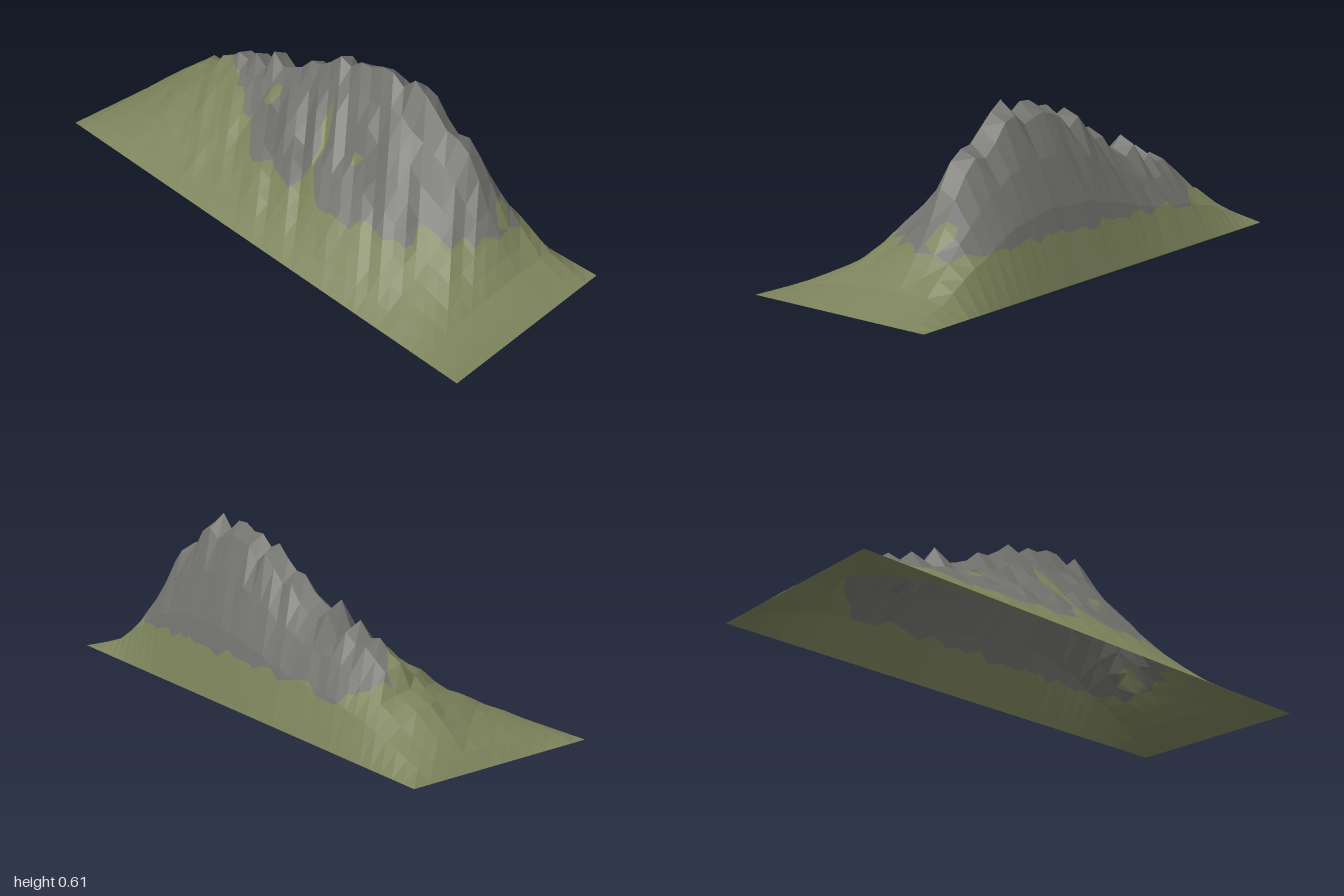
import * as THREE from 'three';

const NX = 40, NZ = 12, DX = 0.05, DZ = 0.73 / 12;
// skyline heights from left edge to right edge of the base
const crest = [0, 0.045, 0.085, 0.12, 0.155, 0.17, 0.185, 0.26, 0.28, 0.32, 0.31, 0.36, 0.32, 0.41,
  0.365, 0.385, 0.41, 0.46, 0.465, 0.5, 0.545, 0.525, 0.565, 0.565, 0.59, 0.59, 0.555, 0.605,
  0.57, 0.525, 0.475, 0.465, 0.43, 0.35, 0.25, 0.175, 0.11, 0.06, 0.04, 0.02, 0];
// share of the skyline height from the back edge to the front edge
const slope = [0, 0.44, 0.71, 0.96, 1, 0.83, 0.68, 0.54, 0.42, 0.3, 0.19, 0.09, 0];
const CREST_ROW = 4;
// grassy ledges on the rock: x, z, radius
const ledges = [[-0.26, -0.03, 0.07], [0.06, -0.02, 0.06], [0.1, 0.09, 0.06], [0.26, 0.06, 0.06],
  [-0.42, 0.02, 0.07], [0.58, 0.05, 0.05], [0.7, -0.18, 0.05]];

const hash = (a, b) => {
  const s = Math.sin(a * 127.1 + b * 311.7) * 43758.5453;
  return (s - Math.floor(s)) * 2 - 1;
};

// average of the skyline, used away from the crest
const envelope = i => {
  let sum = 0, n = 0;
  for (let k = Math.max(0, i - 2); k <= Math.min(NX, i + 2); k++) { sum += crest[k]; n++; }
  return Math.min(sum / n, crest[i] * 1.15);
};

function height(i, j) {
  const r = j - CREST_ROW;
  const low = THREE.MathUtils.clamp(crest[i] / 0.35, 0, 1);
  const p = Math.pow(slope[j], 0.55 + 0.45 * low);
  if (r === 0) return crest[i];
  if (r === -1) return crest[i] * p * (0.97 + 0.03 * hash(i, 7));
  const h = envelope(i) * p;
  // spurs and gullies run diagonally down the front
  const rough = r > 0 ? 0.14 * Math.sin(Math.PI * Math.min(1, r / 8)) : 0.03;
  const spur = hash(i - r, 3) * 0.65 + hash(i - r, Math.floor(r / 2)) * 0.45;
  return Math.max(0, Math.min(h * (1 + rough * spur * low), crest[i] * 0.98));
}

// positive on rock, negative on grass
function rockiness(i, j, x, y, z) {
  const back = z < -0.16;
  let limit = back ? 0.165 - 0.03 * Math.max(0, -x)
    : 0.175 + 0.17 * THREE.MathUtils.smoothstep(-x + z * 0.5, 0.25, 0.65);
  if (x < -0.62) limit += 0.06;
  limit += 0.025 * hash(i, j + 20);
  let f = y - limit;
  if (!back || x > 0.65) {
    for (const [lx, lz, rad] of ledges) {
      const d = Math.hypot(x - lx, z - lz) / rad;
      if (d < 1) f = Math.min(f, (d - 0.6) * 0.1);
    }
  }
  return f;
}

// keep the part of a polygon on one side of the rock line
function clip(points, sign) {
  const out = [];
  points.forEach((a, k) => {
    const b = points[(k + 1) % points.length];
    const fa = a.f * sign, fb = b.f * sign;
    if (fa >= 0) out.push(a.p);
    if (fa * fb < 0) out.push(a.p.clone().lerp(b.p, fa / (fa - fb)));
  });
  return out;
}

function terrainMesh(name, cells, sign, material) {
  const pos = [];
  for (const tri of cells) {
    const poly = clip(tri, sign);
    for (let k = 1; k + 1 < poly.length; k++) {
      for (const p of [poly[0], poly[k], poly[k + 1]]) pos.push(p.x, p.y, p.z);
    }
  }
  const geometry = new THREE.BufferGeometry();
  geometry.setAttribute('position', new THREE.Float32BufferAttribute(pos, 3));
  geometry.computeVertexNormals();
  const mesh = new THREE.Mesh(geometry, material);
  mesh.name = name;
  return mesh;
}

export function createModel() {
  const group = new THREE.Group();
  group.name = 'mountainRidge';
  const grass = new THREE.MeshStandardMaterial({ color: 0x7c825b, side: THREE.DoubleSide, flatShading: true });
  grass.name = 'mossGreen';
  const rock = new THREE.MeshStandardMaterial({ color: 0x71716d, side: THREE.DoubleSide, flatShading: true });
  rock.name = 'rockGrey';

  // height grid
  const grid = [];
  for (let j = 0; j <= NZ; j++) {
    grid.push([]);
    for (let i = 0; i <= NX; i++) {
      const x = -1 + i * DX, z = -0.365 + j * DZ, y = height(i, j);
      grid[j].push({ p: new THREE.Vector3(x, y, z), f: rockiness(i, j, x, y, z) });
    }
  }
  // two triangles per cell
  const cells = [];
  for (let j = 0; j < NZ; j++) {
    for (let i = 0; i < NX; i++) {
      const a = grid[j][i], b = grid[j][i + 1], c = grid[j + 1][i + 1], d = grid[j + 1][i];
      cells.push([a, d, c], [a, c, b]);
    }
  }
  group.add(terrainMesh('grassySlopes', cells, -1, grass));
  group.add(terrainMesh('rockyCrest', cells, 1, rock));
  return group;
}
